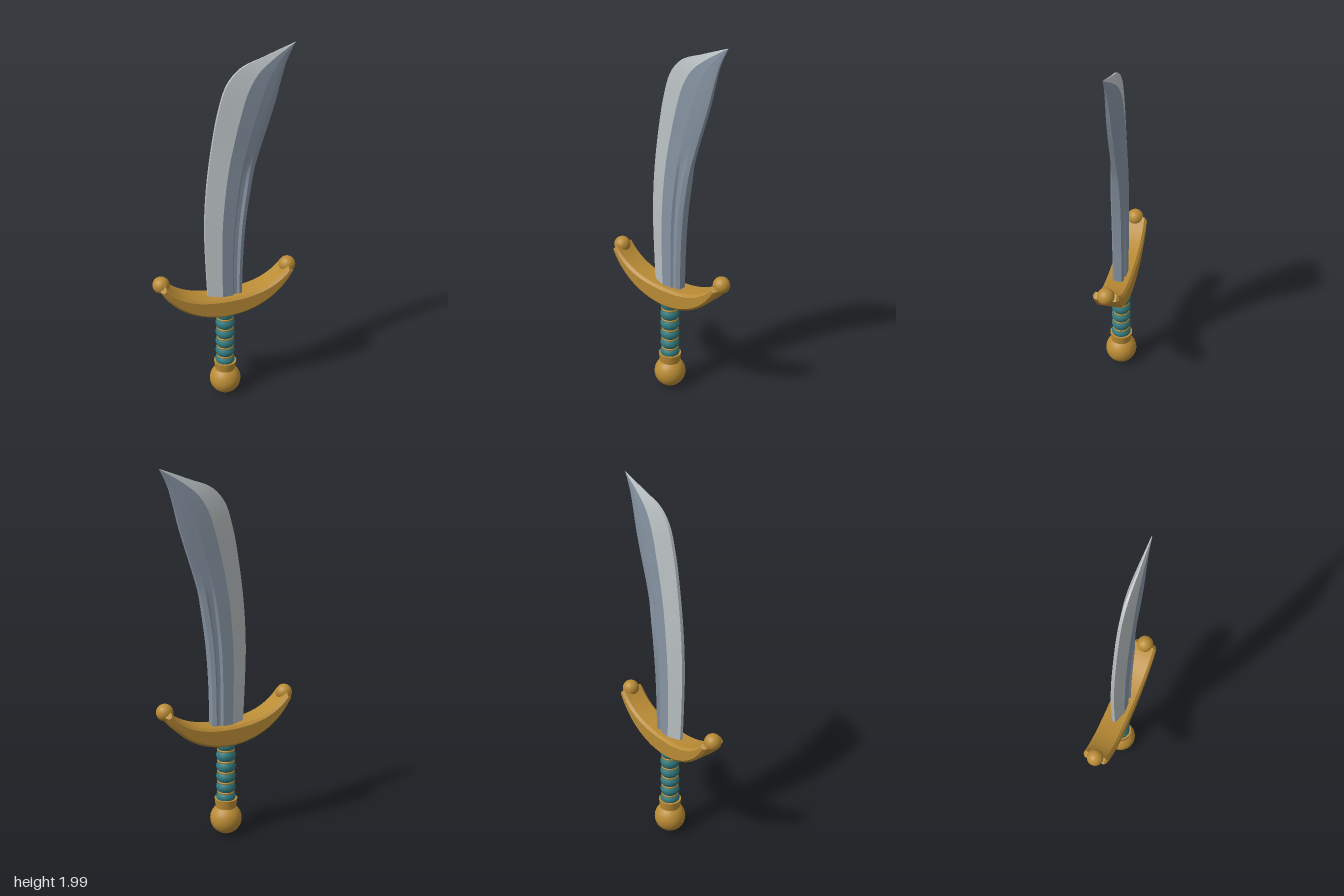
import * as THREE from 'three';

const material = (name, color, extra = {}) => {
  const m = new THREE.MeshStandardMaterial({ color, ...extra });
  m.name = name;
  return m;
};

const add = (parent, name, geometry, mat, x = 0, y = 0, z = 0) => {
  const mesh = new THREE.Mesh(geometry, mat);
  mesh.name = name;
  mesh.position.set(x, y, z);
  parent.add(mesh);
  return mesh;
};

// Cutting edge: x, y, half thickness of the blade at that station
const EDGE = [
  [-0.095, 0.58, 0.034], [-0.108, 0.85, 0.035], [-0.112, 1.05, 0.036], [-0.1, 1.27, 0.036],
  [-0.07, 1.5, 0.034], [-0.035, 1.68, 0.033], [0.01, 1.81, 0.03], [0.08, 1.885, 0.024],
  [0.2, 1.932, 0.014], [0.36, 1.99, 0.002],
];
// Spine: x, y, depth of the fuller (1 = full groove)
const SPINE = [
  [0.088, 0.58, 1], [0.093, 0.85, 1], [0.106, 1.05, 1], [0.133, 1.25, 0.8],
  [0.18, 1.45, 0], [0.235, 1.62, 0], [0.265, 1.72, 0], [0.288, 1.81, 0],
  [0.318, 1.905, 0], [0.36, 1.987, 0],
];
// Cross-section: position from edge to spine, thickness without and with the fuller
const SECTION = [
  [0, 0.25, 0.25], [0.4, 1, 1], [0.7, 0.9, 0.96], [0.75, 0.82, 0.62],
  [0.84, 0.68, 0.6], [0.9, 0.58, 0.92], [1, 0.35, 0.6],
];

const curveOf = (pts) => new THREE.CatmullRomCurve3(pts.map((p) => new THREE.Vector3(...p)));

// One closed loop of points around the blade at station t
function bladeLoop(edge, spine, t) {
  const a = edge.getPoint(t);
  const b = spine.getPoint(t);
  const groove = THREE.MathUtils.clamp(b.z, 0, 1);
  const side = SECTION.map(([u, plain, fuller]) => new THREE.Vector3(
    THREE.MathUtils.lerp(a.x, b.x, u),
    THREE.MathUtils.lerp(a.y, b.y, u),
    a.z * THREE.MathUtils.lerp(plain, fuller, groove),
  ));
  const back = side.map((p) => new THREE.Vector3(p.x, p.y, -p.z)).reverse();
  return [...side, ...back];
}

// A strip along the blade between two neighbouring points of the loop
function bladeStrip(loops, i) {
  const k = (i + 1) % loops[0].length;
  const positions = [];
  const index = [];
  loops.forEach((loop, j) => {
    positions.push(...loop[i].toArray(), ...loop[k].toArray());
    if (j > 0) {
      const n = 2 * j;
      index.push(n - 2, n - 1, n + 1, n - 2, n + 1, n);
    }
  });
  const g = new THREE.BufferGeometry();
  g.setAttribute('position', new THREE.Float32BufferAttribute(positions, 3));
  g.setIndex(index);
  g.computeVertexNormals();
  return g;
}

export function createModel() {
  const sword = new THREE.Group();
  sword.name = 'curvedSword';

  const gold = material('gold', 0xb98b35);
  const teal = material('teal grip', 0x317a7e);
  const steel = material('steel', 0x8794a3, { side: THREE.DoubleSide });
  const bright = material('bright edge', 0xb9c0c2, { side: THREE.DoubleSide });

  // Blade: smooth along its length, creased between strips
  const blade = new THREE.Group();
  blade.name = 'blade';
  sword.add(blade);
  const edge = curveOf(EDGE);
  const spine = curveOf(SPINE);
  const STATIONS = 54;
  const loops = Array.from({ length: STATIONS + 1 }, (_, j) => bladeLoop(edge, spine, j / STATIONS));
  const count = loops[0].length;
  for (let i = 0; i < count; i++) {
    const isEdge = i === 0 || i >= count - 2;
    add(blade, isEdge ? 'cuttingEdge' : 'bladeFace', bladeStrip(loops, i), isEdge ? bright : steel);
  }

  // Crescent guard with chamfered rims; outline is inset by the bevel
  const outline = new THREE.Shape();
  outline.moveTo(-0.352, 0.738);
  outline.bezierCurveTo(-0.27, 0.59, -0.12, 0.538, 0, 0.538);
  outline.bezierCurveTo(0.12, 0.538, 0.27, 0.59, 0.352, 0.738);
  outline.lineTo(0.342, 0.748);
  outline.bezierCurveTo(0.26, 0.65, 0.14, 0.622, 0, 0.622);
  outline.bezierCurveTo(-0.14, 0.622, -0.26, 0.65, -0.342, 0.748);
  outline.closePath();
  const guard = new THREE.ExtrudeGeometry(outline, {
    depth: 0.11, bevelEnabled: true, bevelThickness: 0.013, bevelSize: 0.013,
    bevelSegments: 1, curveSegments: 20,
  });
  add(sword, 'guard', guard, gold, 0, 0, -0.055);
  for (const s of [-1, 1]) {
    add(sword, 'guardBall', new THREE.SphereGeometry(0.045, 32, 20), gold, s * 0.353, 0.755, 0);
  }

  // Grip: a stack of bulges pinched by rings
  const RINGS = [0.246, 0.305, 0.364, 0.425, 0.488];
  const stops = [0.19, ...RINGS, 0.55];
  const profile = [];
  for (let i = 0; i < stops.length - 1; i++) {
    for (let k = 0; k < 8; k++) {
      const t = k / 8;
      profile.push(new THREE.Vector2(
        0.041 + 0.012 * Math.sin(Math.PI * t),
        THREE.MathUtils.lerp(stops[i], stops[i + 1], t),
      ));
    }
  }
  profile.push(new THREE.Vector2(0.041, 0.55));
  add(sword, 'grip', new THREE.LatheGeometry(profile, 32), teal);
  for (const y of RINGS) {
    const ring = add(sword, 'gripRing', new THREE.TorusGeometry(0.041, 0.007, 10, 32), gold, 0, y, 0);
    ring.rotation.x = Math.PI / 2;
  }

  // Collar and pommel
  add(sword, 'collar', new THREE.CylinderGeometry(0.062, 0.056, 0.05, 32), gold, 0, 0.182, 0);
  add(sword, 'pommel', new THREE.SphereGeometry(0.086, 40, 28), gold, 0, 0.088, 0);

  return sword;
}
